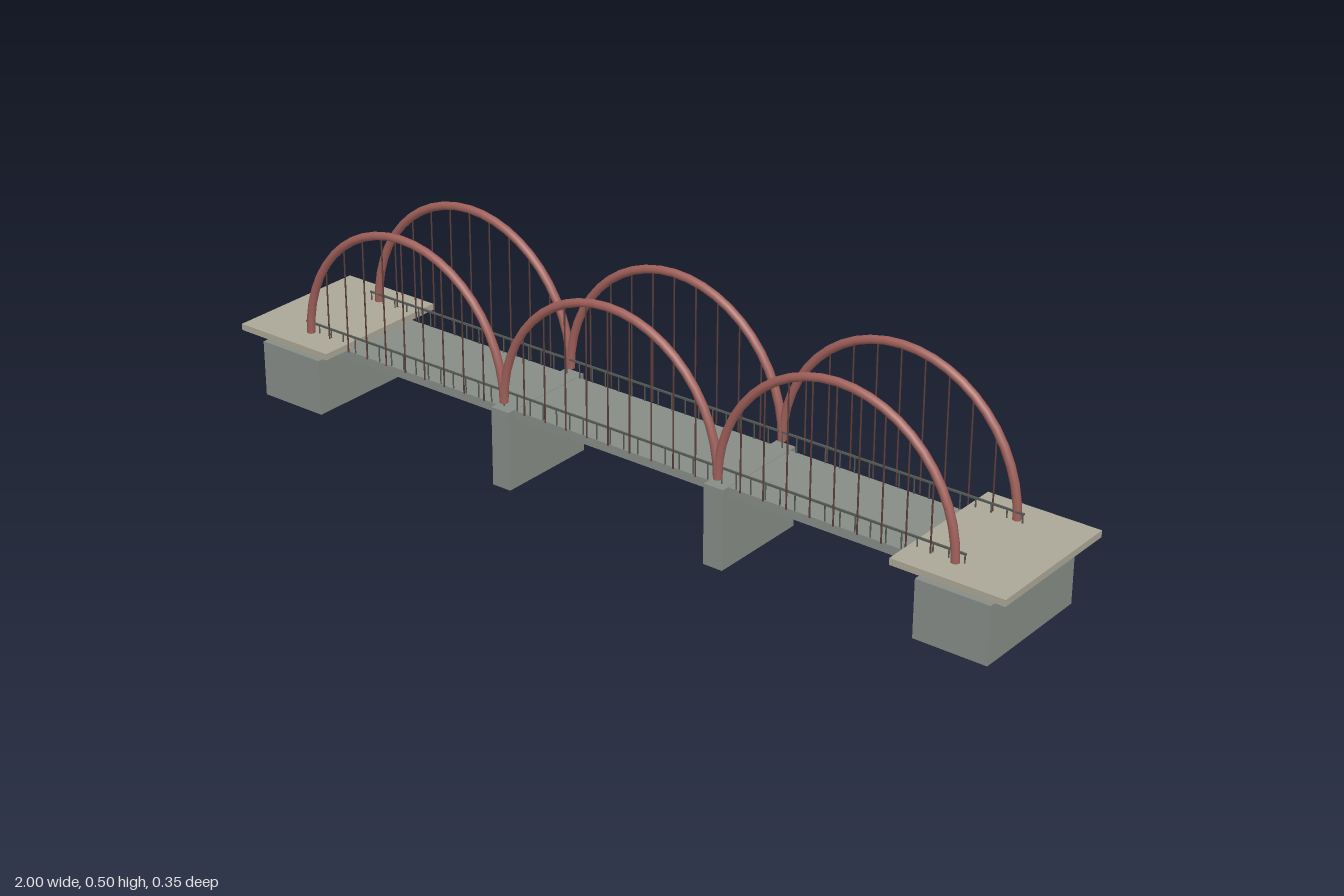
import * as THREE from 'three';

const SPAN = 0.565;      // length of one arch
const RISE = 0.298;
const BASE = 0.197;      // height of the arch feet
const ARCH_Z = 0.11;

// Half an ellipse, standing on its feet
class ArchCurve extends THREE.Curve {
  getPoint(t, target = new THREE.Vector3()) {
    const a = Math.PI * (1 - t);
    return target.set(Math.cos(a) * SPAN / 2, BASE + Math.sin(a) * RISE, 0);
  }
  getPointAt(t, target) { return this.getPoint(t, target); }
}

export function createModel() {
  const model = new THREE.Group();
  const concrete = new THREE.MeshStandardMaterial({ color: 0x868c86 });
  const paving = new THREE.MeshStandardMaterial({ color: 0xaba697 });
  const red = new THREE.MeshStandardMaterial({ color: 0xa0605a });
  const cable = new THREE.MeshStandardMaterial({ color: 0x5c3f3b });
  const railing = new THREE.MeshStandardMaterial({ color: 0x555a55 });

  const add = (name, geometry, material, x, y, z, parent = model) => {
    const mesh = new THREE.Mesh(geometry, material);
    mesh.name = name;
    mesh.position.set(x, y, z);
    parent.add(mesh);
    return mesh;
  };
  // Box given by its centre in x and z and its bottom and top
  const block = (name, material, x, bottom, top, z, width, depth) =>
    add(name, new THREE.BoxGeometry(width, top - bottom, depth), material, x, (bottom + top) / 2, z);
  const rod = (name, material, radius, x, bottom, top, z, parent) =>
    add(name, new THREE.CylinderGeometry(radius, radius, top - bottom, 6), material, x, (bottom + top) / 2, z, parent);

  // Deck, piers, abutments and approach slabs
  block('deck', concrete, 0, 0.163, 0.183, 0, 1.734, 0.21);
  for (const s of [-1, 1]) {
    const side = s > 0 ? 'left' : 'right';
    block(side + 'Pier', concrete, s * SPAN / 2, 0, 0.184, 0, 0.048, 0.248);
    block(side + 'Abutment', concrete, s * 0.871, 0.031, 0.162, 0, 0.17, 0.306);
    block(side + 'ApproachSlab', paving, s * 0.87, 0.185, 0.2, 0, 0.26, 0.348);
  }

  const archGeometry = new THREE.TubeGeometry(new ArchCurve(), 24, 0.0095, 8, false);
  const capGeometry = new THREE.CircleGeometry(0.0095, 8).rotateX(Math.PI / 2);
  for (const s of [-1, 1]) {
    const side = s > 0 ? 'front' : 'back';
    // Three arches per side, each with nine hangers
    for (const i of [-1, 0, 1]) {
      const span = new THREE.Group();
      span.name = side + 'ArchSpan';
      span.position.set(i * SPAN, 0, s * ARCH_Z);
      model.add(span);
      add('arch', archGeometry, red, 0, 0, 0, span);
      for (const e of [-1, 1]) add('archFoot', capGeometry, red, e * SPAN / 2, BASE, 0, span);
      for (let k = 1; k < 10; k++) {
        const u = k / 5 - 1;
        const top = BASE + RISE * Math.sqrt(1 - u * u);
        rod('hanger', cable, 0.0018, u * SPAN / 2, 0.183, top, 0, span);
      }
    }
    // Handrail with posts
    const z = s * 0.103;
    block(side + 'Handrail', railing, 0, 0.218, 0.222, z, 1.734, 0.004);
    for (let k = 0; k <= 48; k++) {
      rod('railPost', railing, 0.0016, -0.864 + k * 0.036, 0.183, 0.219, z);
    }
  }
  return model;
}
